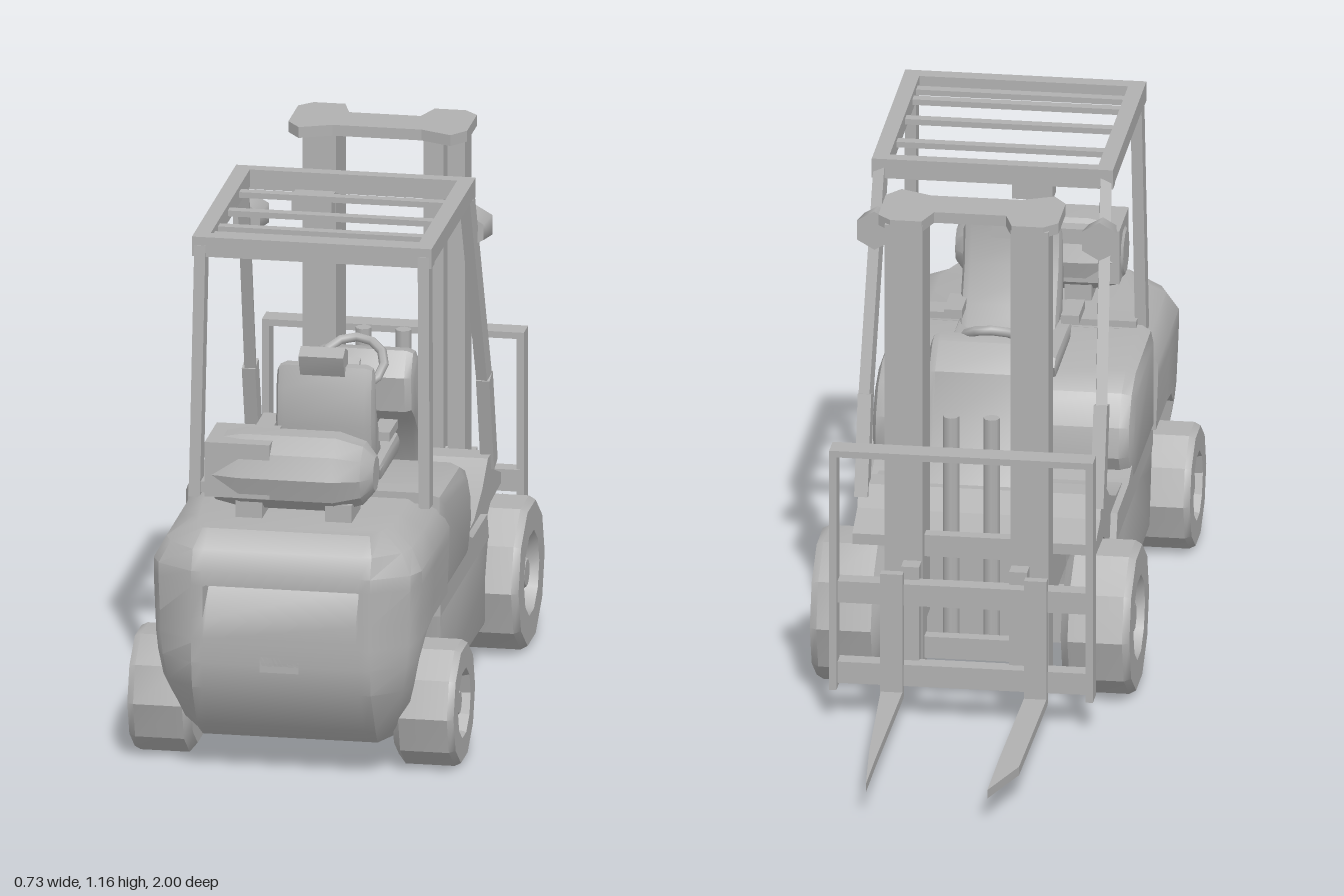
import * as THREE from 'three';
import { toCreasedNormals } from 'three/addons/utils/BufferGeometryUtils.js';

const grey = new THREE.MeshStandardMaterial({ color: 0xb0b0b0 });
grey.name = 'plain grey';

export function createModel() {
  const model = new THREE.Group();
  model.name = 'forklift';

  const add = (name, geometry, x = 0, y = 0, z = 0) => {
    const mesh = new THREE.Mesh(geometry, grey);
    mesh.name = name;
    mesh.position.set(x, y, z);
    model.add(mesh);
    return mesh;
  };
  // box given by its limits on each axis
  const box = (name, x0, x1, y0, y1, z0, z1) =>
    add(name, new THREE.BoxGeometry(x1 - x0, y1 - y0, z1 - z0), (x0 + x1) / 2, (y0 + y1) / 2, (z0 + z1) / 2);
  // straight bar between two points
  const beam = (name, a, b, w, d) => {
    const p = new THREE.Vector3(...a), q = new THREE.Vector3(...b);
    const dir = q.clone().sub(p);
    const mesh = add(name, new THREE.BoxGeometry(w, dir.length(), d));
    mesh.position.copy(p).add(q).multiplyScalar(0.5);
    mesh.quaternion.setFromUnitVectors(new THREE.Vector3(0, 1, 0), dir.normalize());
    return mesh;
  };
  // side outline of [z, y] points, extruded across x
  const slab = (name, points, width, bevel = 0, x = 0) => {
    const shape = new THREE.Shape(points.map(([z, y]) => new THREE.Vector2(z, y)));
    const depth = width - 2 * bevel;
    const g = new THREE.ExtrudeGeometry(shape, {
      depth, bevelEnabled: bevel > 0, bevelSize: bevel, bevelThickness: bevel, bevelOffset: -bevel, bevelSegments: 2,
    });
    g.translate(0, 0, -depth / 2).rotateY(-Math.PI / 2);
    return add(name, toCreasedNormals(g, 0.6), x);
  };
  const sides = (fn) => [1, -1].forEach(fn);

  // counterweight: stacked outlines with rear slot, hollow around the axle
  // y, half width, rear z, arch rear z, inner half width, slot depth
  const layers = [
    [0.08, 0.23, 0.88, 0.79, 0.04, 0], [0.12, 0.25, 0.93, 0.84, 0.04, 0],
    [0.22, 0.28, 0.99, 0.9, 0.04, 0], [0.28, 0.29, 1, 0.89, 0.04, 0],
    [0.325, 0.295, 1, 0.82, 0.04, 0], [0.335, 0.295, 1, 0.75, 0.295, 0],
    [0.38, 0.297, 1, 0.75, 0.297, 0], [0.455, 0.3, 1, 0.75, 0.3, 0.05],
    [0.458, 0.3, 1, 0.75, 0.3, 0], [0.49, 0.3, 1, 0.75, 0.3, 0],
    [0.535, 0.275, 0.98, 0.75, 0.275, 0], [0.57, 0.22, 0.93, 0.75, 0.22, 0],
  ];
  const rings = layers.map(([y, w, zr, za, wi, slot]) => {
    const half = [
      [0.168, zr - slot], [0.175, zr], [Math.min(0.2, w * 0.85), zr], [w * 0.94, zr - 0.05],
      [w, zr - 0.09], [w, za], [wi, za], [wi, 0.57],
    ];
    const mirrored = half.map(([x, z]) => [-x, z]).reverse();
    return [...half, ...mirrored].map(([x, z]) => new THREE.Vector3(x, y, z));
  });
  const tris = [];
  rings.slice(1).forEach((upper, k) => {
    const lower = rings[k];
    lower.forEach((p, i) => {
      const j = (i + 1) % lower.length;
      tris.push(p, lower[j], upper[j], p, upper[j], upper[i]);
    });
  });
  const cap = (ring, flip) => {
    const flat = ring.map((p) => new THREE.Vector2(p.x, -p.z));
    THREE.ShapeUtils.triangulateShape(flat, []).forEach(([a, b, c]) =>
      tris.push(ring[a], ring[flip ? c : b], ring[flip ? b : c]));
  };
  cap(rings[0], true);
  cap(rings[rings.length - 1], false);
  add('counterweight', toCreasedNormals(new THREE.BufferGeometry().setFromPoints(tris), 0.6));
  box('towHitch', -0.047, 0.04, 0.265, 0.3, 0.994, 1);

  // engine hood and front fenders
  slab('hood', [[0.6, 0.57], [0.34, 0.565], [0.27, 0.535], [0.225, 0.47], [0.22, 0.4], [0.27, 0.32], [0.6, 0.32]], 0.58, 0.03);
  slab('frontFender', [[0.22, 0.35], [0.1, 0.36], [0.0, 0.4], [-0.07, 0.45], [-0.13, 0.45], [-0.15, 0.4], [-0.23, 0.37],
    [-0.23, 0.345], [-0.1, 0.34], [0.0, 0.29], [0.05, 0.29]], 0.54);
  box('hoodTrim', -0.25, 0.25, 0.56, 0.585, 0.58, 0.64);

  // underbody: floor over a wide tank on the right and a narrow step on the left
  slab('floorPan', [[0.6, 0.335], [0.6, 0.29], [0, 0.29], [0.02, 0.35], [0.2, 0.35], [0.28, 0.38]], 0.57);
  const sill = [[0.6, 0.33], [0.58, 0.24], [0.55, 0.11], [0.04, 0.1], [0.04, 0.2], [0, 0.29], [0.02, 0.35], [0.2, 0.35]];
  slab('sideTank', sill, 0.26, 0.012, -0.155);
  slab('sideStep', sill, 0.1, 0.012, 0.235);
  box('frontChassis', -0.17, 0.17, 0.22, 0.36, -0.2, 0.04);

  // wheels with recessed rims
  const wheel = (name, r, w, x, z) => sides((s) => {
    const profile = [[0, 0], [r * 0.85, 0], [r, w * 0.12], [r, w * 0.9], [r * 0.95, w], [r * 0.56, w],
      [r * 0.48, w - 0.04], [r * 0.26, w - 0.03], [r * 0.18, w - 0.01], [0, w - 0.01]];
    const g = new THREE.LatheGeometry(profile.map((p) => new THREE.Vector2(...p)), 10);
    g.rotateZ(-Math.PI / 2);
    const mesh = add(name, toCreasedNormals(g, 0.6), s * x, r, z);
    if (s < 0) mesh.rotation.y = Math.PI;
  });
  wheel('rearWheel', 0.14, 0.14, 0.225, 0.745);
  wheel('frontWheel', 0.17, 0.155, 0.2, -0.14);
  box('rearAxle', -0.23, 0.23, 0.11, 0.17, 0.71, 0.78);
  box('frontAxle', -0.21, 0.21, 0.12, 0.22, -0.19, -0.09);

  // gas tank lying across the counterweight
  const tank = add('gasTank', toCreasedNormals(new THREE.LatheGeometry(
    [[0, -0.2], [0.05, -0.2], [0.075, -0.18], [0.088, -0.12], [0.088, 0.09], [0.07, 0.15], [0.04, 0.175], [0, 0.175]]
      .map((p) => new THREE.Vector2(...p)), 10), 0.6), 0, 0.67, 0.785);
  tank.rotation.z = -Math.PI / 2;
  box('tankValve', -0.195, -0.05, 0.62, 0.745, 0.71, 0.86);
  [-0.1, 0.1].forEach((x) => box('tankBracket', x - 0.03, x + 0.03, 0.56, 0.61, 0.73, 0.84));

  // seat
  slab('seatCushion', [[0.5, 0.56], [0.53, 0.6], [0.46, 0.605], [0.28, 0.61], [0.26, 0.59], [0.28, 0.56]], 0.25, 0.012, 0.01);
  slab('seatBack', [[0.53, 0.6], [0.55, 0.7], [0.545, 0.78], [0.53, 0.83], [0.5, 0.83], [0.49, 0.74], [0.45, 0.66], [0.43, 0.61]],
    0.22, 0.02, 0.015);
  slab('headrest', [[0.55, 0.835], [0.56, 0.86], [0.53, 0.875], [0.5, 0.86], [0.495, 0.8], [0.53, 0.8]], 0.1, 0, 0.01);
  sides((s) => box('armrest', s * 0.13 - 0.02, s * 0.13 + 0.02, 0.65, 0.67, 0.38, 0.48));

  // dashboard and steering
  slab('dashboard', [[0.11, 0.68], [0.08, 0.735], [0.04, 0.73], [-0.02, 0.68], [-0.05, 0.57], [-0.12, 0.43], [-0.04, 0.43],
    [0.0, 0.51], [0.06, 0.57], [0.1, 0.6]], 0.23, 0.02, 0.02);
  const steering = add('steeringWheel', new THREE.TorusGeometry(0.07, 0.011, 6, 12), 0, 0.71, 0.11);
  steering.rotation.x = -0.9;
  beam('steeringColumn', [0, 0.71, 0.11], [0, 0.62, 0.04], 0.03, 0.03);

  // overhead guard
  sides((s) => {
    beam('rearPost', [s * 0.257, 0.55, 0.625], [s * 0.25, 1.12, 0.595], 0.025, 0.045);
    beam('frontPost', [s * 0.25, 1.12, 0.09], [s * 0.262, 0.62, -0.075], 0.025, 0.035);
    beam('frontPostFoot', [s * 0.262, 0.64, -0.07], [s * 0.262, 0.42, -0.13], 0.03, 0.045);
    box('roofRail', s * 0.25 - 0.018, s * 0.25 + 0.018, 1.1, 1.14, 0.07, 0.61);
    const lamp = add('headLamp', new THREE.CylinderGeometry(0.045, 0.035, 0.06, 6), s * 0.25, 1.005, 0.01);
    lamp.rotation.x = -Math.PI / 2;
  });
  box('roofRearBar', -0.268, 0.268, 1.095, 1.14, 0.58, 0.615);
  box('roofFrontBar', -0.268, 0.268, 1.095, 1.14, 0.07, 0.1);
  [0.22, 0.36, 0.48, 0.54].forEach((z) => box('roofSlat', -0.235, 0.235, 1.115, 1.128, z - 0.012, z + 0.012));
  box('roofLamp', -0.13, -0.04, 1.05, 1.1, 0.1, 0.15);

  // mast
  sides((s) => {
    box('outerMast', s * 0.14 - 0.042, s * 0.14 + 0.042, 0.09, 1.15, -0.35, -0.275);
    box('innerMast', s * 0.12 - 0.022, s * 0.12 + 0.022, 0.2, 1.14, -0.28, -0.225);
    add('liftCylinder', new THREE.CylinderGeometry(0.018, 0.018, 0.55, 8), s * 0.045, 0.4, -0.27);
    beam('tiltCylinder', [s * 0.13, 0.32, -0.08], [s * 0.13, 0.4, -0.26], 0.035, 0.035);
  });
  const capShape = new THREE.Shape([[-0.2, 0.2], [-0.17, 0.16], [-0.1, 0.19], [0.1, 0.19], [0.17, 0.16], [0.2, 0.2],
    [0.2, 0.32], [0.17, 0.35], [0.1, 0.35], [0.08, 0.29], [-0.08, 0.29], [-0.1, 0.35], [-0.17, 0.35], [-0.2, 0.32]]
    .map((p) => new THREE.Vector2(...p)));
  const capGeometry = new THREE.ExtrudeGeometry(capShape, { depth: 0.025, bevelEnabled: false });
  add('mastCap', capGeometry.rotateX(-Math.PI / 2), 0, 1.137, 0);
  [0.12, 0.36].forEach((y) => box('mastCrossbar', -0.1, 0.1, y, y + 0.05, -0.32, -0.29));

  // fork carriage and load backrest
  sides((s) => box('backrestSide', s * 0.285 - 0.008, s * 0.285 + 0.008, 0.08, 0.645, -0.44, -0.385));
  box('backrestTop', -0.293, 0.293, 0.63, 0.645, -0.44, -0.385);
  [[0.09, 0.14], [0.28, 0.33]].forEach(([a, b]) => box('carriageBar', -0.285, 0.285, a, b, -0.42, -0.38));
  sides((s) => box('carriageBracket', s * 0.12 - 0.02, s * 0.12 + 0.02, 0.1, 0.36, -0.39, -0.34));

  // forks: upright shanks with tapering blades
  sides((s) => {
    const a = s > 0 ? 0.13 : -0.19, b = a + 0.05;
    const tip = s * 0.135;
    box('forkShank', a, b, 0.065, 0.36, -0.44, -0.418);
    const blade = new THREE.Shape([[a, 0.42], [b, 0.42], [s > 0 ? 0.155 : tip, 0.8], [tip, 1], [s > 0 ? tip : -0.185, 0.85]]
      .map((p) => new THREE.Vector2(...p)));
    const g = new THREE.ExtrudeGeometry(blade, { depth: 0.02, bevelEnabled: false });
    add('forkBlade', g.rotateX(-Math.PI / 2), 0, 0.062, 0);
  });

  return model;
}
